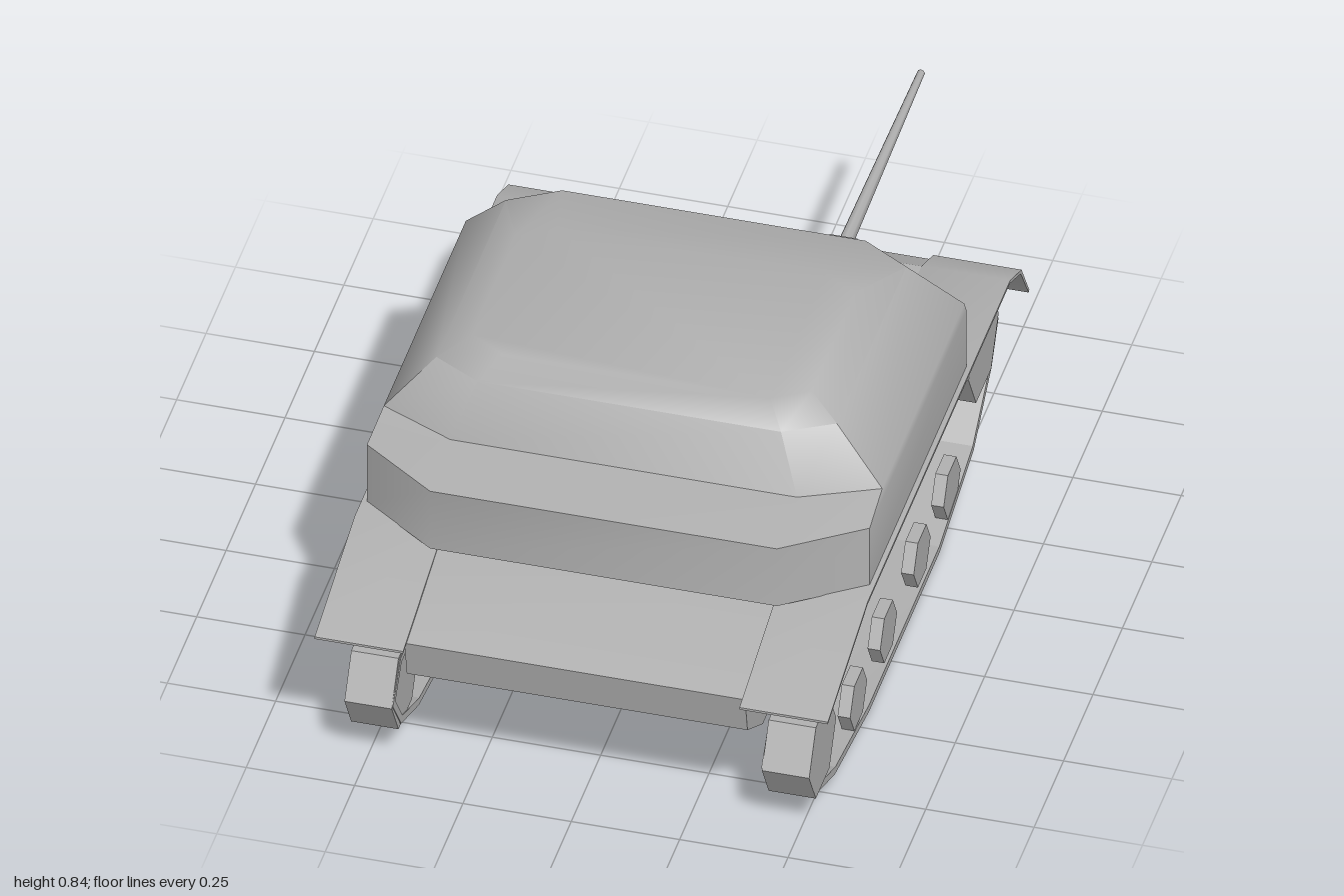
import * as THREE from 'three';
import { toCreasedNormals } from 'three/addons/utils/BufferGeometryUtils.js';

const grey = new THREE.MeshStandardMaterial({ color: 0xb0b0b0 });
grey.name = 'plain grey';

function part(name, geometry, crease = 0.4) {
  const mesh = new THREE.Mesh(toCreasedNormals(geometry, crease), grey);
  mesh.name = name;
  return mesh;
}

// Side profile of [z, y] points, extruded across x between x0 and x1
function sideExtrude(points, x0, x1, hole) {
  const toV = (p) => new THREE.Vector2(p[0], p[1]);
  const shape = new THREE.Shape(points.map(toV));
  if (hole) shape.holes.push(new THREE.Path(hole.map(toV)));
  const g = new THREE.ExtrudeGeometry(shape, { depth: x1 - x0, bevelEnabled: false });
  g.rotateY(-Math.PI / 2);
  g.translate(x1, 0, 0);
  return g;
}

// Moves each corner of a counterclockwise loop inward by d
function inset(points, d) {
  const n = points.length;
  return points.map((p, i) => {
    const a = points[(i + n - 1) % n], b = points[(i + 1) % n];
    const u = new THREE.Vector2(p[0] - a[0], p[1] - a[1]).normalize();
    const v = new THREE.Vector2(b[0] - p[0], b[1] - p[1]).normalize();
    const k = d / (1 + u.dot(v));
    return [p[0] - (u.y + v.y) * k, p[1] + (u.x + v.x) * k];
  });
}

// Eight-cornered ring: half width, corner half width, front, front corner, back, back corner, height
const ring = (w, c, f, fc, b, bc, y) =>
  [[c, f], [w, fc], [w, bc], [c, b], [-c, b], [-w, bc], [-w, fc], [-c, f]].map(([x, z]) => [x, y, z]);

function loft(rings) {
  const n = rings[0].length, index = [];
  for (let r = 0; r < rings.length - 1; r++) {
    for (let i = 0; i < n; i++) {
      const a = r * n + i, b = r * n + (i + 1) % n;
      index.push(a, b, b + n, a, b + n, a + n);
    }
  }
  const top = (rings.length - 1) * n;
  for (let i = 1; i < n - 1; i++) index.push(top, top + i, top + i + 1);
  const g = new THREE.BufferGeometry();
  g.setAttribute('position', new THREE.Float32BufferAttribute(rings.flat(2), 3));
  g.setIndex(index);
  g.computeVertexNormals();
  return g;
}

function wheel(name, z, y, radius, x0, x1) {
  const g = new THREE.CylinderGeometry(radius, radius, x1 - x0, 6);
  g.rotateZ(Math.PI / 2);
  g.translate((x0 + x1) / 2, y, z);
  return part(name, g);
}

function runningGear(side) {
  const group = new THREE.Group();
  group.name = side > 0 ? 'leftRunningGear' : 'rightRunningGear';
  const span = (a, b) => (side > 0 ? [a, b] : [-b, -a]);

  // Track belt
  const belt = [
    [0.44, 0], [0.73, 0.04], [0.88, 0.1], [0.95, 0.2], [0.885, 0.288], [0.8, 0.29], [0.735, 0.337],
    [-0.47, 0.442], [-0.595, 0.412], [-0.66, 0.285], [-0.6, 0.19], [-0.45, 0.072], [-0.16, 0],
  ];
  group.add(part('track', sideExtrude(belt, ...span(0.425, 0.535), inset(belt, 0.018)), 0.2));

  // Wheels
  group.add(wheel('idlerWheel', 0.838, 0.195, 0.115, ...span(0.427, 0.536)));
  group.add(wheel('driveSprocket', -0.53, 0.303, 0.128, ...span(0.427, 0.536)));
  for (const z of [0.525, 0.27, -0.015, -0.27]) {
    group.add(wheel('roadWheel', z, 0.098, 0.072, ...span(0.505, 0.534)));
  }

  // Thin fender with a drooping flap
  const fender = [
    [1, 0.394], [0.66, 0.479], [-0.548, 0.479], [-0.64, 0.437], [-0.706, 0.335],
    [-0.712, 0.338], [-0.646, 0.444], [-0.55, 0.486], [0.66, 0.486], [1, 0.4],
  ];
  group.add(part('fender', sideExtrude(fender, ...span(0.388, 0.592)), 0.6));
  return group;
}

export function createModel() {
  const model = new THREE.Group();
  model.name = 'tankette';

  // Hull
  const hull = [
    [0.97, 0.4], [0.66, 0.484], [-0.55, 0.484], [-0.635, 0.44], [-0.615, 0.33],
    [-0.56, 0.22], [0.82, 0.22], [0.95, 0.3],
  ];
  model.add(part('hull', sideExtrude(hull, -0.393, 0.393)));

  // Superstructure with front shelf and rounded-off roof
  model.add(part('superstructure', loft([
    ring(0.58, 0.4, 0.727, 0.6, -0.285, -0.222, 0.484),
    ring(0.58, 0.4, 0.727, 0.6, -0.285, -0.222, 0.645),
    ring(0.575, 0.4, 0.555, 0.475, -0.283, -0.222, 0.662),
    ring(0.462, 0.35, 0.507, 0.445, -0.213, -0.146, 0.8),
    ring(0.392, 0.31, 0.45, 0.4, -0.02, 0.03, 0.844),
  ]), 0.75));

  // Gun mount and tapered barrel, pointing backward
  const mount = new THREE.CylinderGeometry(0.045, 0.082, 0.085, 4);
  mount.rotateY(Math.PI / 4);
  mount.rotateX(-Math.PI / 2);
  mount.translate(0.266, 0.672, -0.293);
  model.add(part('gunMount', mount));

  const barrel = new THREE.CylinderGeometry(0.009, 0.018, 0.69, 8);
  barrel.rotateX(-Math.PI / 2);
  barrel.translate(0.264, 0.668, -0.655);
  model.add(part('gunBarrel', barrel, 0.9));

  model.add(runningGear(1), runningGear(-1));
  return model;
}
